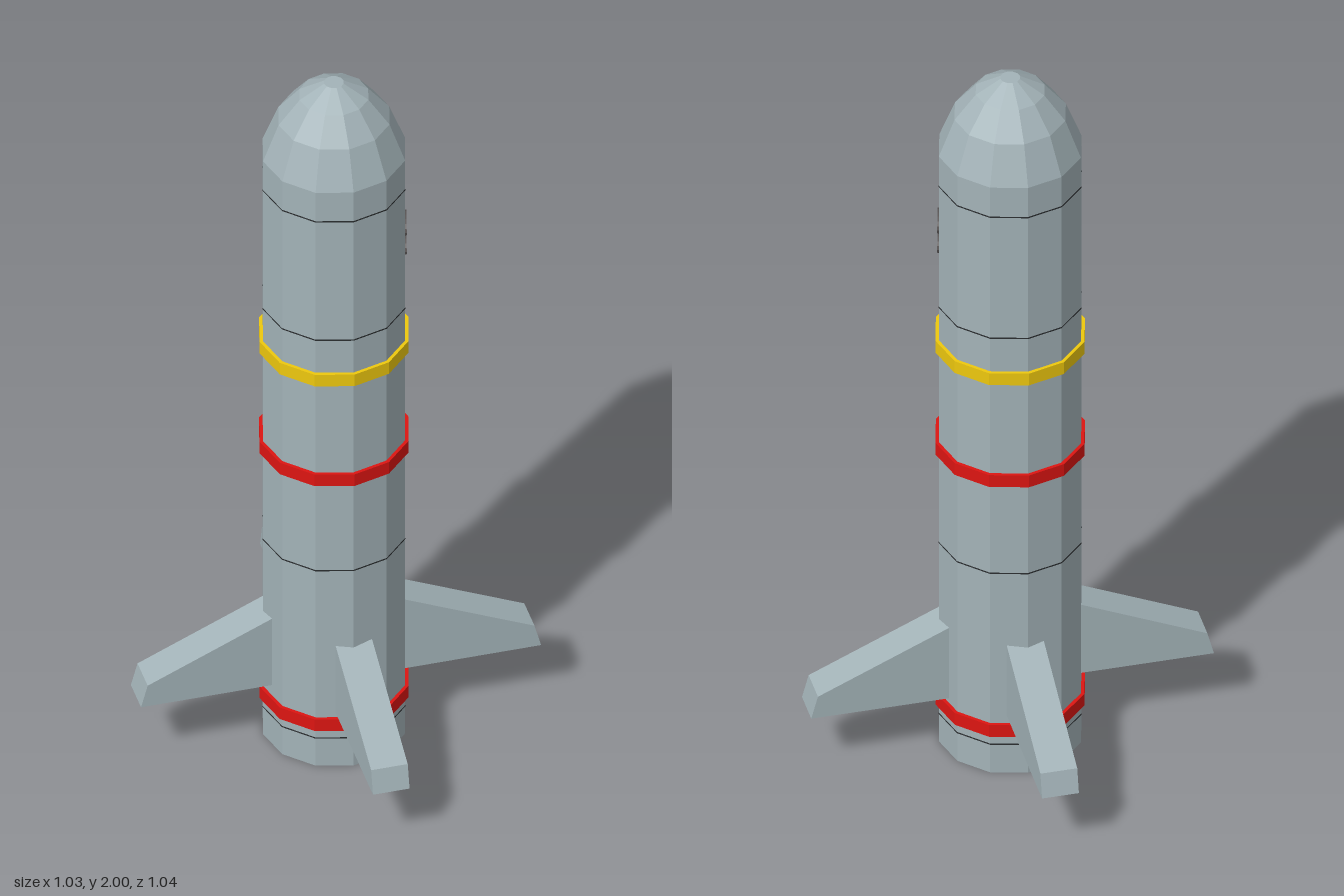
import * as THREE from 'three';

const SIDES = 12;
const R = 0.182;
const paint = (color) => new THREE.MeshStandardMaterial({ color, flatShading: true });

export function createModel() {
  const model = new THREE.Group();
  model.name = 'missile';
  const hull = paint(0xa3b3b8), red = paint(0xdd1512), yellow = paint(0xeec80e);
  const dark = paint(0x2b2e30), portGrey = paint(0x5a5656);

  const add = (parent, name, geometry, material) => {
    const mesh = new THREE.Mesh(geometry, material);
    mesh.name = name;
    parent.add(mesh);
    return mesh;
  };

  // the fuselage sits slightly off the middle of the fin span
  const fuselage = new THREE.Group();
  fuselage.name = 'fuselage';
  fuselage.position.set(-0.008, 0, 0.006);
  model.add(fuselage);

  // twelve-sided body with blunt nose and recessed tail
  const profile = [
    [0, 0.09], [0.135, 0.09], [0.142, 0], [R, 0], [R, 1.79],
    [0.142, 1.895], [0.088, 1.962], [0.025, 2], [0, 2],
  ].map(([x, y]) => new THREE.Vector2(x, y));
  add(fuselage, 'body', new THREE.LatheGeometry(profile, SIDES), hull);

  // painted bands and thin panel seams
  const band = (name, y, height, radius, material) => {
    const g = new THREE.CylinderGeometry(radius, radius, height, SIDES, 1, true);
    add(fuselage, name, g, material).position.y = y;
  };
  // solid raised band as a closed rectangular loop
  const raisedBand = (name, y, material) => {
    const h = 0.018, r = 0.191, inner = R - 0.004;
    const pts = [[inner, -h], [r, -h], [r, h], [inner, h]].map(([a, b]) => new THREE.Vector2(a, b));
    add(fuselage, name, new THREE.LatheGeometry(pts, SIDES), material).position.y = y;
  };
  raisedBand('yellowBand', 1.21, yellow);
  raisedBand('upperRedBand', 0.898, red);
  raisedBand('lowerRedBand', 0.133, red);
  [1.7, 1.33, 0.61, 0.087].forEach((y, i) => band(`seam${i + 1}`, y, 0.004, R + 0.001, dark));

  // two oval ports centred on the face beside the left-hand corner
  const ports = new THREE.Group();
  ports.name = 'ports';
  ports.rotation.y = -Math.PI / 12;
  fuselage.add(ports);
  [1.56, 1.5].forEach((y, i) => {
    const g = new THREE.CylinderGeometry(1, 1, 0.008, 16);
    g.rotateZ(-Math.PI / 2);
    g.scale(1, 0.025, 0.042);
    const port = add(ports, `port${i + 1}`, g, portGrey);
    port.position.set(R * Math.cos(Math.PI / 12), y, 0);
  });

  // swept fin slab, drawn outward along +x and turned to each side
  const finGeometry = (tip) => {
    const shape = new THREE.Shape();
    shape.moveTo(0.155, 0);
    shape.lineTo(tip, 0);
    shape.lineTo(tip - 0.017, 0.064);
    shape.lineTo(0.155, 0.218);
    shape.closePath();
    const g = new THREE.ExtrudeGeometry(shape, { depth: 0.094, bevelEnabled: false });
    return g.translate(0, 0, -0.047);
  };
  [
    ['leftFin', 0, 0.512, 0.165],
    ['backFin', 1, 0.521, 0.174],
    ['rightFin', 2, 0.515, 0.183],
    ['frontFin', 3, 0.521, 0.165],
  ].forEach(([name, turn, tip, y]) => {
    const fin = add(model, name, finGeometry(tip), hull);
    fin.rotation.y = turn * Math.PI / 2;
    fin.position.set(turn % 2 ? -0.004 : 0, y, turn % 2 ? 0 : 0.002);
  });

  return model;
}
